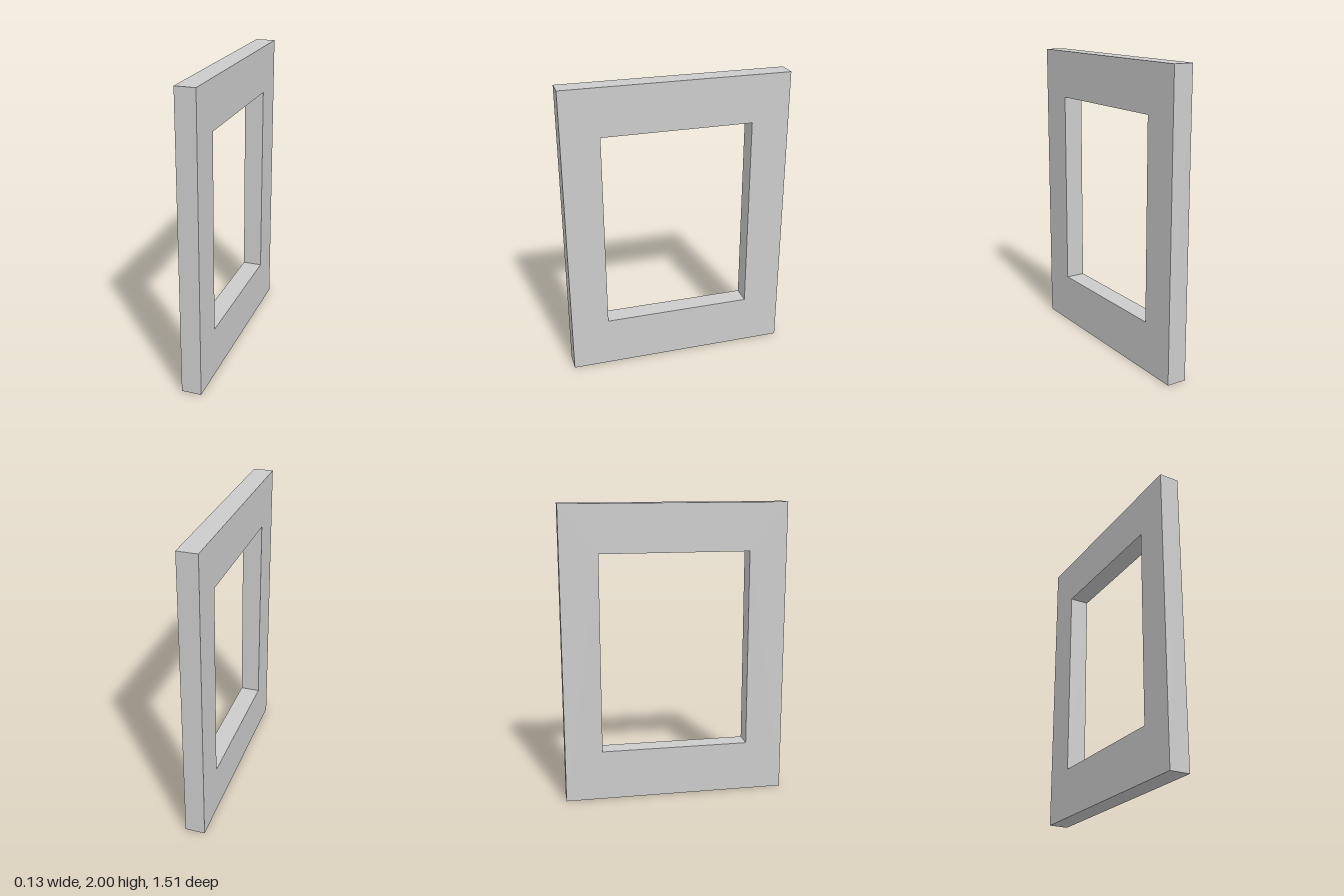
import * as THREE from 'three';

// Traces a closed rectangle onto a Shape or Path.
function traceRect(path, halfWidth, bottom, top) {
  path.moveTo(-halfWidth, bottom);
  path.lineTo(halfWidth, bottom);
  path.lineTo(halfWidth, top);
  path.lineTo(-halfWidth, top);
  path.closePath();
  return path;
}

export function createModel() {
  const thickness = 0.133;
  const group = new THREE.Group();
  group.name = 'windowFrame';

  // Flat rectangular frame with a slightly taller bottom rail
  const outline = traceRect(new THREE.Shape(), 0.755, 0, 2);
  outline.holes.push(traceRect(new THREE.Path(), 0.502, 0.34, 1.68));

  const geometry = new THREE.ExtrudeGeometry(outline, { depth: thickness, bevelEnabled: false });
  geometry.translate(0, 0, -thickness / 2);
  geometry.rotateY(Math.PI / 2); // the frame's broad faces look along x

  const frame = new THREE.Mesh(
    geometry,
    new THREE.MeshStandardMaterial({ color: 0xcccccc, flatShading: true })
  );
  frame.name = 'frame';
  group.add(frame);
  return group;
}
